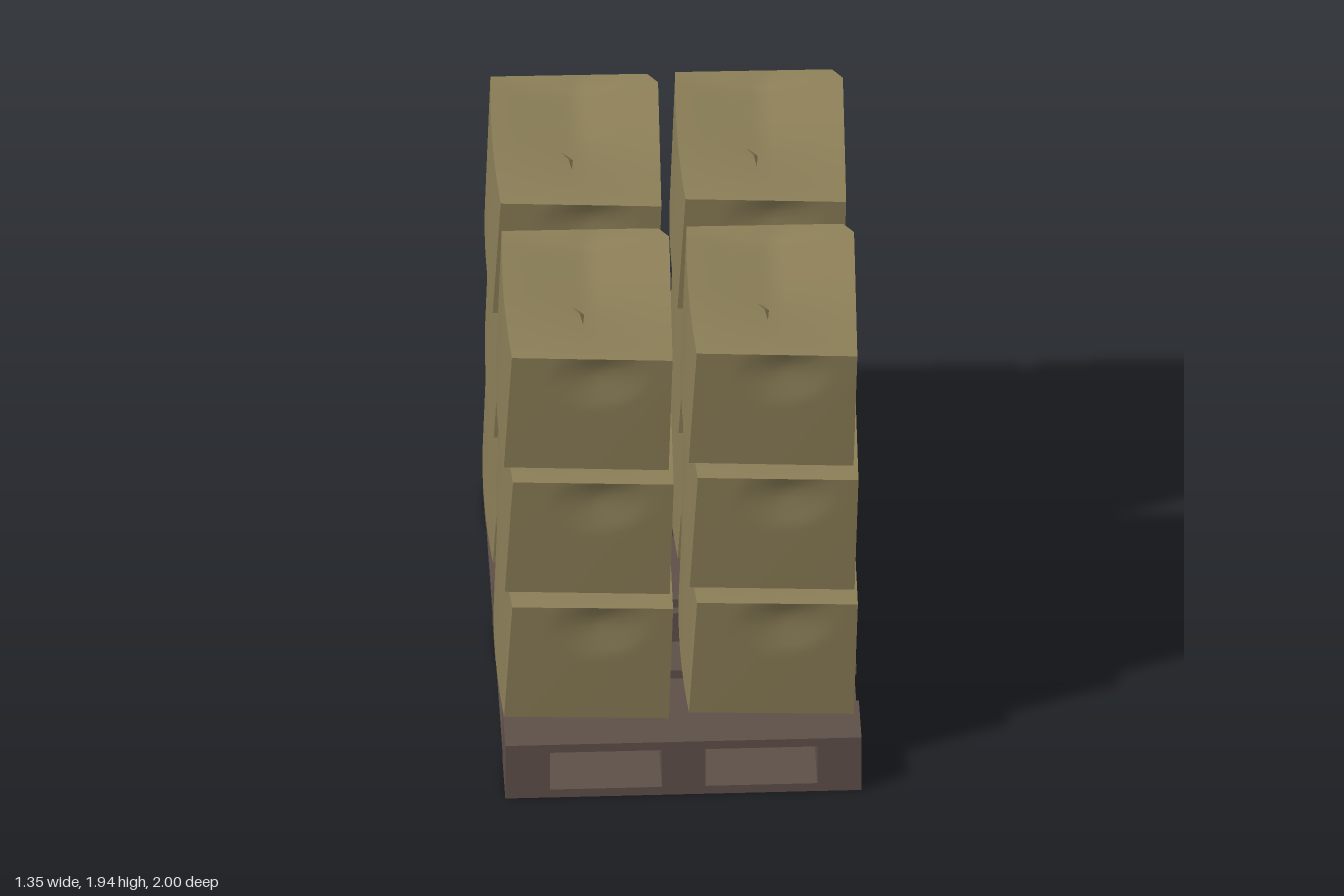
import * as THREE from 'three';

const lerp = THREE.MathUtils.lerp;
const smooth = THREE.MathUtils.smoothstep;

// Corners of one sagging carton around its centre: [x, y, z]
const TOP = {
  backLeft: [-0.295, 0.277, -0.425], backRight: [0.33, 0.277, -0.418],
  frontLeft: [-0.29, 0.262, 0.375], frontRight: [0.308, 0.265, 0.422],
};
const BOTTOM = {
  backLeft: [-0.315, -0.28, -0.418], backRight: [0.325, -0.28, -0.412],
  frontLeft: [-0.318, -0.272, 0.325], frontRight: [0.296, -0.277, 0.362],
};

// Blend the four corners of one layer
function layerPoint(c, s, t) {
  return [0, 1, 2].map((i) => lerp(
    lerp(c.backLeft[i], c.backRight[i], s),
    lerp(c.frontLeft[i], c.frontRight[i], s), t));
}

// Box grid warped into a crumpled carton
function cartonGeometry() {
  const g = new THREE.BoxGeometry(2, 2, 2, 16, 16, 16);
  const p = g.attributes.position;
  for (let i = 0; i < p.count; i++) {
    let u = p.getX(i), v = p.getY(i), w = p.getZ(i);
    const onTop = v > 0.999, onFront = w > 0.999, onBack = w < -0.999;
    const onLeft = u < -0.999;
    const u0 = u, v0 = v, w0 = w;

    // Blunted rear right edge
    const over = u - w - 1.87;
    if (over > 0) { u -= over / 2; w += over / 2; }

    const a = layerPoint(BOTTOM, (u + 1) / 2, (w + 1) / 2);
    const b = layerPoint(TOP, (u + 1) / 2, (w + 1) / 2);
    const q = a.map((n, k) => lerp(n, b[k], (v + 1) / 2));

    // Shallow valley where the lid flaps meet
    if (onTop) {
      const along = smooth(w0, -1, -0.85) * (1 - smooth(w0, -0.3, 0.9));
      q[1] -= 0.045 * (1 - Math.abs(u0)) * along;
    }
    // Pinched dent near the top of the front
    if (onFront) {
      const d = Math.hypot((u0 - 0.1) / 0.6, (v0 - 0.72) / 0.6);
      q[2] -= 0.022 * Math.max(0, 1 - d) * (1 - v0 ** 8);
    }
    // Soft folds on the rear, slight bulge on the left
    if (onBack) q[2] += 0.012 * (1 - u0 * u0) * (1 - v0 * v0);
    if (onLeft) q[0] -= 0.012 * (1 - w0 * w0);
    p.setXYZ(i, q[0], q[1], q[2]);
  }
  g.computeVertexNormals();
  return g;
}

// Small folded tab poking out of the lid seam
function tabGeometry() {
  const g = new THREE.BufferGeometry();
  g.setAttribute('position', new THREE.Float32BufferAttribute([
    -0.05, 0.25, 0.04, -0.025, 0.262, 0.1, 0.0, 0.235, 0.07,
    0.015, 0.225, 0.33, 0.0, 0.235, 0.07, -0.025, 0.262, 0.1,
  ], 3));
  g.computeVertexNormals();
  return g;
}

export function createModel() {
  const model = new THREE.Group();
  model.name = 'loadedPallet';
  const wood = new THREE.MeshStandardMaterial({ color: 0x5f5049 });
  wood.name = 'brown wood';
  const card = new THREE.MeshStandardMaterial({ color: 0x8c7f58, side: THREE.DoubleSide });
  card.name = 'tan cardboard';

  // Pallet
  const pallet = new THREE.Group();
  pallet.name = 'pallet';
  model.add(pallet);
  function plank(name, x0, x1, y0, y1, z0, z1) {
    const m = new THREE.Mesh(new THREE.BoxGeometry(x1 - x0, y1 - y0, z1 - z0), wood);
    m.name = name;
    m.position.set((x0 + x1) / 2, (y0 + y1) / 2, (z0 + z1) / 2);
    pallet.add(m);
  }
  const W = 0.665;
  const columns = [[-W, -0.498], [-0.08, 0.082], [0.5, W]];
  const rows = [[-1, -0.76], [-0.12, 0.12], [0.76, 1]];
  const deck = [[-1, -0.76], [-0.54, -0.375], [-0.083, 0.083], [0.375, 0.54], [0.76, 1]];
  for (const [z0, z1] of rows) {
    plank('bottomBoard', -W, W, 0, 0.036, z0, z1);
    for (const [x0, x1] of columns) plank('block', x0, x1, 0.036, 0.204, z0, z1);
  }
  for (const [x0, x1] of columns) {
    plank('longBoard', x0, x1, 0.036, 0.074, -0.76, -0.12);
    plank('longBoard', x0, x1, 0.036, 0.074, 0.12, 0.76);
  }
  for (const [z0, z1] of deck) plank('deckBoard', -W, W, 0.204, 0.24, z0, z1);

  // Cartons: two by two, three high, each tier a little askew
  const cartonGeo = cartonGeometry();
  const tabGeo = tabGeometry();
  const tiers = [
    { y: 0.525, turn: 0.014, x: -0.004, z: 0.003 },
    { y: 1.094, turn: 0.005, x: 0.002, z: 0.002 },
    { y: 1.66, turn: 0, x: 0, z: 0 },
  ];
  for (const tier of tiers) {
    for (const x of [-0.345, 0.345]) {
      for (const z of [-0.5, 0.497]) {
        const carton = new THREE.Group();
        carton.name = 'carton';
        const body = new THREE.Mesh(cartonGeo, card);
        body.name = 'cartonBody';
        const tab = new THREE.Mesh(tabGeo, card);
        tab.name = 'lidTab';
        carton.add(body, tab);
        carton.position.set(x + tier.x, tier.y, z + tier.z);
        carton.rotation.y = tier.turn;
        model.add(carton);
      }
    }
  }
  return model;
}
